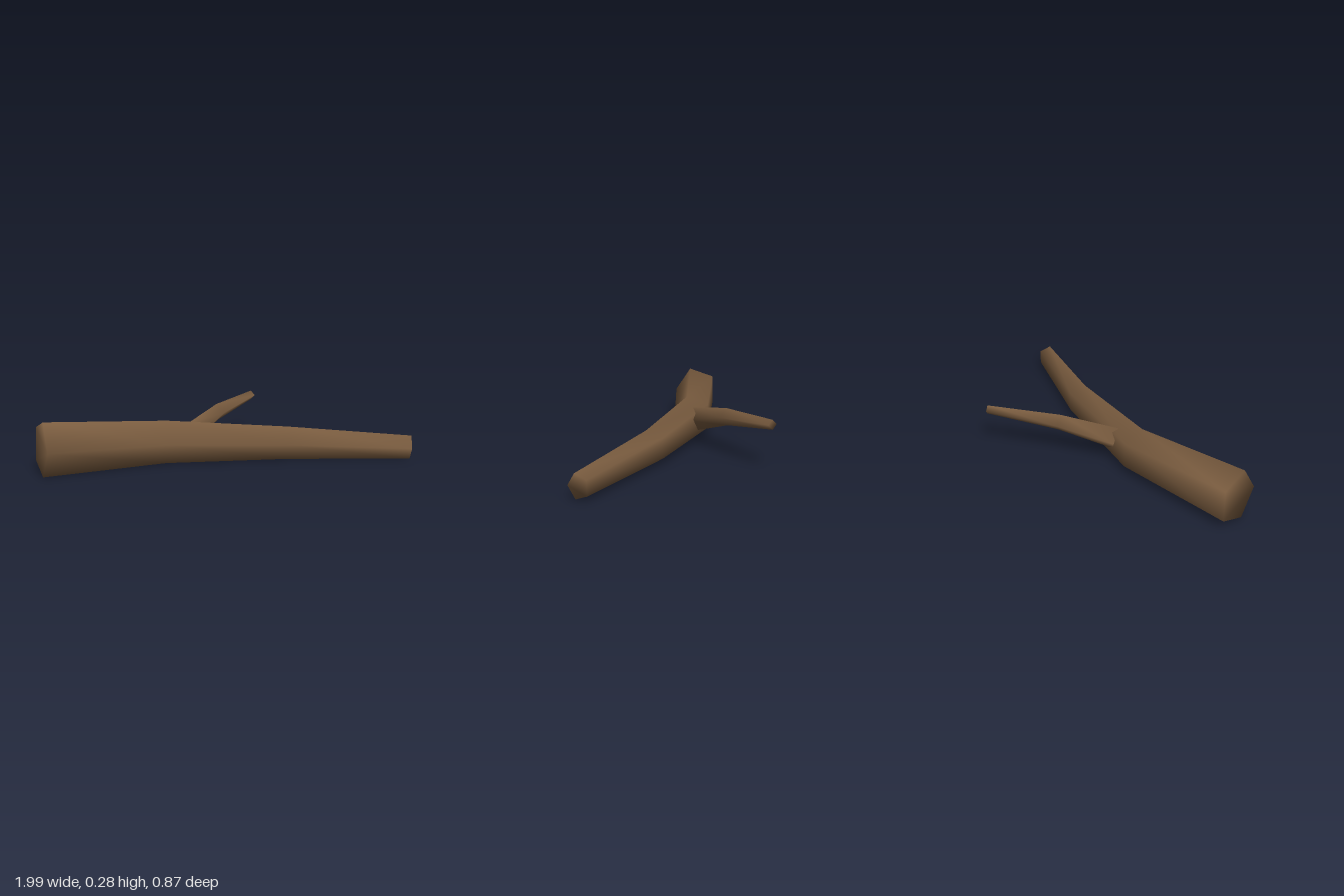
import * as THREE from 'three';

// Closed tapering limb through rings of [x, y, z, horizontal radius, vertical radius]
function limb(rings, sides) {
  const centres = rings.map(([x, y, z]) => new THREE.Vector3(x, y, z));
  const last = rings.length - 1;
  const pos = [], idx = [];
  const direction = (i) => centres[i + 1].clone().sub(centres[i]).normalize();

  rings.forEach(([, , , rh, rv], i) => {
    // Bends are mitred: each ring faces the average of its two segments
    const t = new THREE.Vector3();
    if (i > 0) t.add(direction(i - 1));
    if (i < last) t.add(direction(i));
    t.normalize();
    const side = new THREE.Vector3().crossVectors(t, new THREE.Vector3(0, 1, 0)).normalize();
    const up = new THREE.Vector3().crossVectors(side, t);
    for (let j = 0; j < sides; j++) {
      const a = (j / sides) * Math.PI * 2;
      const p = centres[i].clone()
        .addScaledVector(side, Math.cos(a) * rh)
        .addScaledVector(up, Math.sin(a) * rv);
      pos.push(p.x, p.y, p.z);
    }
  });

  // Bark
  for (let i = 0; i < last; i++) {
    for (let j = 0; j < sides; j++) {
      const a = i * sides + j, b = i * sides + (j + 1) % sides;
      idx.push(a, a + sides, b, b, a + sides, b + sides);
    }
  }
  // End caps, sharing the smooth normals of the bark
  const e = last * sides;
  for (let j = 1; j < sides - 1; j++) {
    idx.push(0, j, j + 1, e, e + j + 1, e + j);
  }

  const geo = new THREE.BufferGeometry();
  geo.setAttribute('position', new THREE.Float32BufferAttribute(pos, 3));
  geo.setIndex(idx);
  geo.computeVertexNormals();
  return geo;
}

export function createModel() {
  const group = new THREE.Group();
  group.name = 'fallenBranch';

  const bark = new THREE.MeshStandardMaterial({ color: 0x7b5d40 });
  bark.name = 'bark brown';

  // Five-sided main limb
  const main = new THREE.Mesh(limb([
    [-0.97, 0.141, 0.27, 0.134, 0.147],
    [-0.32, 0.116, 0.14, 0.111, 0.121],
    [0.335, 0.091, 0.213, 0.084, 0.094],
    [0.982, 0.067, 0.375, 0.0595, 0.067],
  ], 5), bark);
  main.name = 'mainLimb';

  // Four-sided side twig
  const twig = new THREE.Mesh(limb([
    [-0.18, 0.13, 0.095, 0.065, 0.067],
    [0.03, 0.203, -0.132, 0.048, 0.048],
    [0.312, 0.241, -0.424, 0.026, 0.026],
  ], 4), bark);
  twig.name = 'sideTwig';

  group.add(main, twig);
  return group;
}
